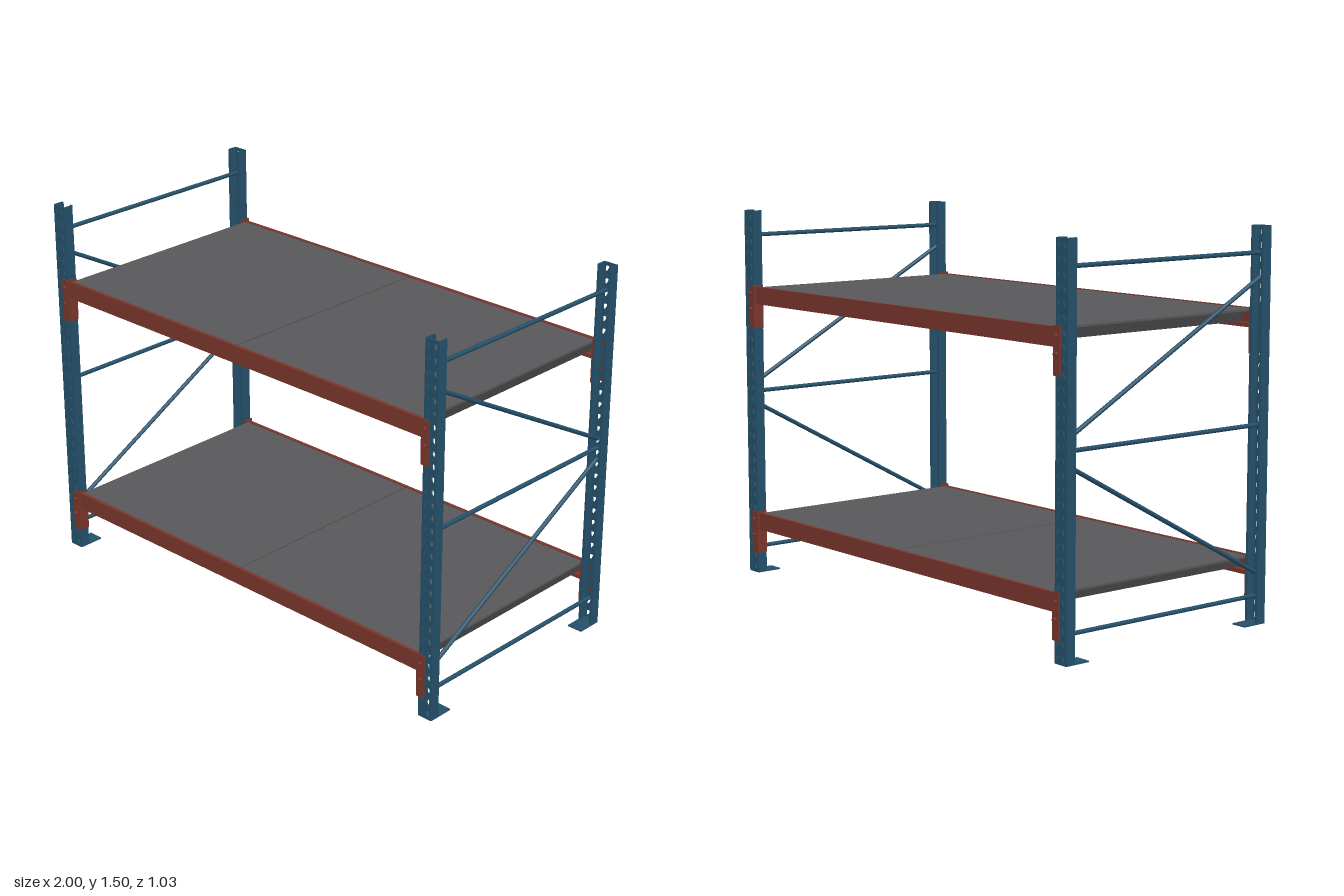
import * as THREE from 'three';

const mat = (name, color) => {
  const m = new THREE.MeshStandardMaterial({ color });
  m.name = name;
  return m;
};

export function createModel() {
  const root = new THREE.Group();
  root.name = 'storageRack';
  const blue = mat('uprightBlue', 0x24506a);
  const red = mat('beamRed', 0x7a362c);
  const grey = mat('deckGrey', 0x58585a);

  const add = (parent, name, geo, material, x = 0, y = 0, z = 0) => {
    const mesh = new THREE.Mesh(geo, material);
    mesh.name = name;
    mesh.position.set(x, y, z);
    parent.add(mesh);
    return mesh;
  };
  const box = (parent, name, material, w, h, d, x, y, z) =>
    add(parent, name, new THREE.BoxGeometry(w, h, d), material, x, y, z);
  const polygon = (pts, Type = THREE.Shape) => new Type(pts.map(([x, y]) => new THREE.Vector2(x, y)));
  const extrude = (shape, depth) => new THREE.ExtrudeGeometry(shape, { depth, bevelEnabled: false });

  // Upright face with two columns of teardrop slots
  const H = 1.5, W = 0.062;
  const face = polygon([[-W / 2, 0], [W / 2, 0], [W / 2, H], [-W / 2, H]]);
  for (let i = 0; i < 30; i++) {
    const y = 0.025 + i * 0.05;
    for (const s of [-1, 1]) {
      const cx = s * 0.0155;
      face.holes.push(polygon([
        [-0.007, 0.011], [0.007, 0.011], [0.008, 0.004], [0.003, -0.011], [-0.003, -0.011], [-0.008, 0.004],
      ].map(([px, py]) => [cx + px - s * py * 0.25, y + py]), THREE.Path));
    }
  }
  const faceGeo = extrude(face, 0.004);

  // Four open channel uprights with foot plates
  for (const sx of [-1, 1]) for (const sz of [-1, 1]) {
    const post = new THREE.Group();
    post.name = 'upright';
    add(post, 'slottedFace', faceGeo, blue, 0, 0, 0.493);
    for (const s of [-1, 1]) {
      box(post, 'sideFlange', blue, 0.004, H, 0.042, s * 0.029, H / 2, 0.476);
      box(post, 'returnLip', blue, 0.008, H, 0.004, s * 0.025, H / 2, 0.457);
    }
    box(post, 'footPlate', blue, 0.065, 0.005, 0.105, 0, 0.0025, 0.4425);
    post.position.x = sx * 0.969;
    if (sz < 0) post.rotation.y = Math.PI;
    root.add(post);
  }

  // Side frame braces, given as [z, y] end points
  const braces = [
    ['horizontalBrace', [0.475, 1.4], [-0.475, 1.4]],
    ['diagonalBrace', [0.475, 1.31], [-0.475, 0.795]],
    ['horizontalBrace', [0.475, 0.757], [-0.475, 0.757]],
    ['diagonalBrace', [-0.475, 0.71], [0.475, 0.195]],
    ['horizontalBrace', [0.475, 0.105], [-0.475, 0.105]],
  ];
  for (const sx of [-1, 1]) for (const [name, [z0, y0], [z1, y1]] of braces) {
    const path = new THREE.LineCurve3(
      new THREE.Vector3(sx * 0.968, y0, z0), new THREE.Vector3(sx * 0.968, y1, z1));
    add(root, name, new THREE.TubeGeometry(path, 1, 0.0085, 10), blue);
  }

  // Stepped beam section, x pointing outward
  const beamGeo = extrude(polygon([
    [0.455, -0.07], [0.493, -0.07], [0.493, 0], [0.479, 0], [0.479, -0.055], [0.455, -0.055],
  ]), 1.87);
  beamGeo.translate(0, 0, -0.935);
  beamGeo.rotateY(-Math.PI / 2);

  // Corrugated underside section of one deck panel
  const panelW = 0.925, ribs = 7, pitch = panelW / ribs;
  const upper = [];
  for (let i = 0; i < ribs; i++) {
    const x = -panelW / 2 + i * pitch;
    upper.push([x, -0.006], [x + pitch * 0.28, -0.006], [x + pitch * 0.45, -0.051], [x + pitch * 0.83, -0.051]);
  }
  upper.push([panelW / 2, -0.006]);
  const lower = upper.map(([x, y]) => [x, y - 0.004]).reverse();
  const ribGeo = extrude(polygon([...upper, ...lower]), 0.95);
  ribGeo.translate(0, 0, -0.475);

  const boltGeo = new THREE.CylinderGeometry(0.008, 0.008, 0.014, 10).rotateX(Math.PI / 2);

  // Two shelf levels
  for (const top of [0.253, 1.19]) {
    const shelf = new THREE.Group();
    shelf.name = 'shelf';
    shelf.position.y = top;
    root.add(shelf);

    for (const sz of [-1, 1]) {
      const beam = add(shelf, 'beam', beamGeo, red);
      if (sz > 0) beam.rotation.y = Math.PI;
      // End connectors wrap around the upright corner
      for (const sx of [-1, 1]) {
        box(shelf, 'connectorFace', red, 0.036, 0.175, 0.006, sx * 0.949, -0.081, sz * 0.5);
        box(shelf, 'connectorSide', red, 0.005, 0.175, 0.046, sx * 0.9335, -0.081, sz * 0.48);
        for (const y of [-0.027, -0.092]) add(shelf, 'bolt', boltGeo, red, sx * 0.95, y, sz * 0.508);
      }
    }

    // Paired deck panels with a narrow gap
    for (const sx of [-1, 1]) {
      const x = sx * (panelW / 2 + 0.004);
      box(shelf, 'deckTop', grey, panelW, 0.005, 0.954, x, -0.0045, 0);
      add(shelf, 'deckCorrugation', ribGeo, grey, x, 0, 0);
    }
  }
  return root;
}
